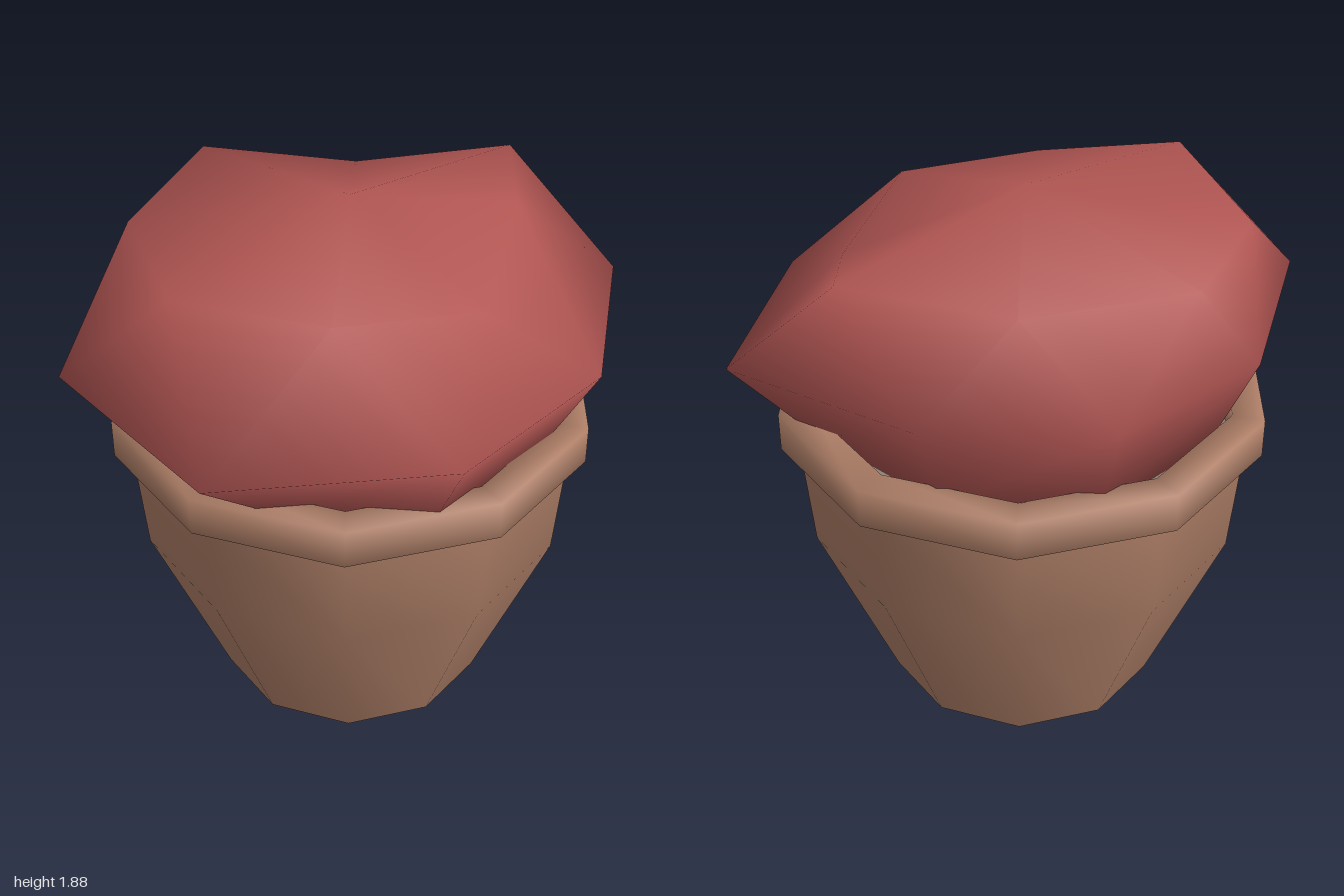
import * as THREE from 'three';

const SIDES = 10;

// Ten-sided turned part; profile points are [radius, height]
function turned(name, profile, color) {
  const points = profile.map(([r, y]) => new THREE.Vector2(r, y));
  const geometry = new THREE.LatheGeometry(points, SIDES, Math.PI / SIDES);
  const mesh = new THREE.Mesh(geometry, new THREE.MeshStandardMaterial({ color }));
  mesh.name = name;
  return mesh;
}

// Lumpy closed crown: three rings of eight points between a tip and a base
function crownGeometry() {
  const tip = [0, 1.885, -0.08];
  const base = [0, 1.02, -0.05];
  const upper = [
    [-0.67, 1.8, 0.27], [-0.22, 1.74, 0.47], [0.27, 1.72, 0.48], [0.6, 1.75, -0.12],
    [0.69, 1.81, -0.43], [0.185, 1.725, -0.63], [-0.34, 1.8, -0.75], [-0.69, 1.77, -0.32],
  ];
  const middle = [
    [-1, 0], [-0.7, 0.74], [0.07, 0.87], [0.67, 0.5],
    [1, -0.155], [0.52, -0.68], [-0.06, -0.87], [-0.62, -0.61],
  ].map(([x, z]) => [x, 1.42, z]);
  const lower = [
    [-0.64, 0], [-0.42, 0.46], [0.05, 0.66], [0.52, 0.38],
    [0.72, -0.1], [0.42, -0.6], [-0.04, -0.77], [-0.5, -0.52],
  ].map(([x, z]) => [x, 1.08, z]);

  const n = 8;
  const low = 0, mid = n, up = 2 * n, top = 3 * n, bottom = 3 * n + 1;
  const index = [];
  for (let i = 0; i < n; i++) {
    const j = (i + 1) % n;
    index.push(bottom, low + j, low + i);
    index.push(low + i, low + j, mid + j, low + i, mid + j, mid + i);
    // upper points sit between neighbouring middle points
    index.push(mid + i, mid + j, up + i, up + i, mid + j, up + j);
    index.push(up + i, up + j, top);
  }
  const geometry = new THREE.BufferGeometry();
  const points = [...lower, ...middle, ...upper, tip, base];
  geometry.setAttribute('position', new THREE.Float32BufferAttribute(points.flat(), 3));
  geometry.setIndex(index);
  geometry.computeVertexNormals();
  return geometry;
}

export function createModel() {
  const model = new THREE.Group();
  model.name = 'pottedBush';

  // Clay pot with rim and soil
  const clay = 0xb08068;
  const pot = new THREE.Group();
  pot.name = 'pot';
  pot.position.z = -0.07;
  pot.add(
    turned('potBase', [[0, 0], [0.48, 0]], clay),
    turned('potBody', [[0.48, 0], [0.745, 0.64], [0.778, 1.01]], clay),
    turned('potRim', [[0.775, 1.005], [0.84, 1.03], [0.84, 1.165], [0.73, 1.165], [0.72, 1.08]], clay),
    turned('soil', [[0.72, 1.08], [0, 1.08]], 0x8a8478),
  );
  model.add(pot);

  // Bush
  const crown = new THREE.Mesh(crownGeometry(), new THREE.MeshStandardMaterial({ color: 0xb05552 }));
  crown.name = 'bushCrown';
  model.add(crown);

  return model;
}
